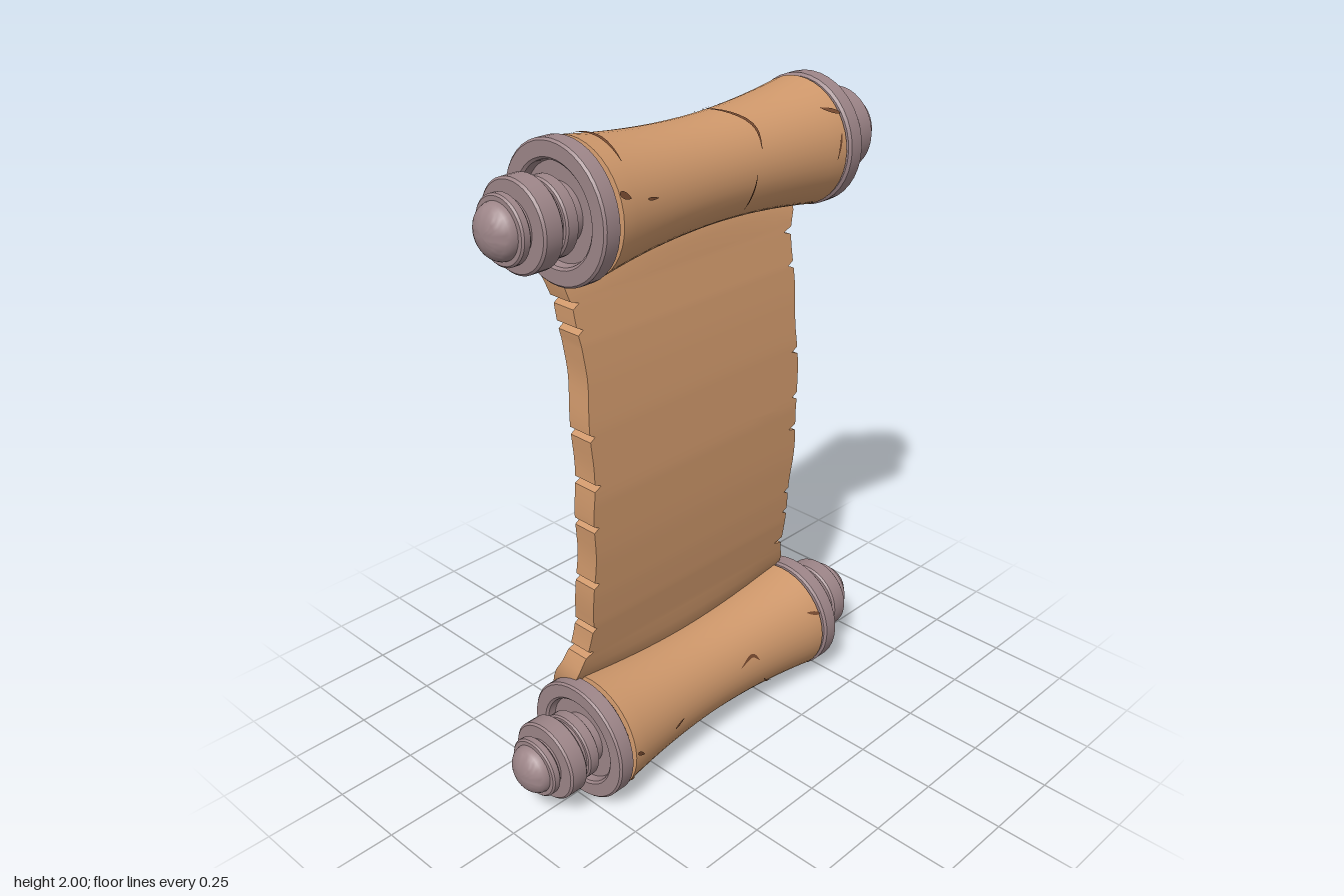
import * as THREE from 'three';
import { toCreasedNormals, mergeGeometries } from 'three/addons/utils/BufferGeometryUtils.js';

const V = (x, y, z) => new THREE.Vector3(x, y, z);
const ROLL_Y = 0.81; // roll axis distance from the middle height
const rollRadius = (x) => 0.147 + 0.037 * Math.pow(Math.min(1, Math.abs(x) / 0.43), 1.9);

// Lathe around x; side = 1 points to +x, -1 to -x
function latheX(profile, side, crease) {
  const g = new THREE.LatheGeometry(profile.map(([r, x]) => new THREE.Vector2(r, x)), 40);
  g.rotateZ(-side * Math.PI / 2);
  return toCreasedNormals(g, crease);
}

function buildRoll() {
  const p = [[0, -0.42], [0.172, -0.428]];
  for (let i = 0; i <= 16; i++) {
    const x = -0.425 + (0.85 * i) / 16;
    p.push([rollRadius(x), x]);
  }
  p.push([0.172, 0.428], [0, 0.42]);
  return latheX(p, 1, 0.6);
}

// Flange with a recessed face, stacked rings and a domed tip
function buildHandle(side) {
  const p = [
    [0, 0.4], [0.1, 0.4], [0.1, 0.437], [0.18, 0.437], [0.188, 0.443], [0.188, 0.486], [0.182, 0.492],
    [0.142, 0.492], [0.135, 0.486], [0.13, 0.465], [0.08, 0.465], [0.08, 0.497],
    [0.098, 0.497], [0.105, 0.502], [0.105, 0.533], [0.1, 0.538], [0.092, 0.538], [0.092, 0.56],
    [0.116, 0.56], [0.122, 0.566], [0.122, 0.616], [0.116, 0.622], [0.075, 0.622], [0.075, 0.635],
    [0.086, 0.635], [0.091, 0.64], [0.091, 0.658], [0.086, 0.663], [0.074, 0.663],
  ];
  for (let i = 1; i <= 8; i++) {
    const a = (i / 8) * Math.PI / 2;
    p.push([0.074 * Math.cos(a), 0.663 + 0.05 * Math.sin(a)]);
  }
  return latheX(p, side, 0.6);
}

// Thin tapering strip along points lying on a surface
function ribbon(points, normals, width) {
  const pos = [], idx = [], n = points.length;
  points.forEach((p, i) => {
    const t = points[Math.min(n - 1, i + 1)].clone().sub(points[Math.max(0, i - 1)]);
    const s = t.cross(normals[i]).normalize().multiplyScalar(width * (0.12 + 0.88 * Math.sin(Math.PI * i / (n - 1))));
    const c = p.clone().addScaledVector(normals[i], 0.003);
    pos.push(...c.clone().add(s).toArray(), ...c.sub(s).toArray());
    if (i) idx.push(2 * i - 2, 2 * i - 1, 2 * i, 2 * i - 1, 2 * i + 1, 2 * i);
  });
  const g = new THREE.BufferGeometry();
  g.setAttribute('position', new THREE.Float32BufferAttribute(pos, 3));
  g.setIndex(idx);
  g.computeVertexNormals();
  return g;
}

// Crack on a roll from [x, degrees] pairs; 0 faces front, 90 faces up
function rollCrack(path, width) {
  const curve = new THREE.CatmullRomCurve3(path.map(([x, d]) => V(x, d * Math.PI / 180, 0)));
  const pts = [], nor = [];
  for (const { x, y: a } of curve.getPoints(14)) {
    const n = V(0, Math.sin(a), Math.cos(a));
    pts.push(n.clone().multiplyScalar(rollRadius(x)).setX(x));
    nor.push(n);
  }
  return ribbon(pts, nor, width);
}

// Sheet section: [distance from middle height, front z, back z, half width]
const SECTION = [
  [0, 0.04, -0.04, 0.424], [0.2, 0.032, -0.046, 0.423], [0.34, 0.02, -0.058, 0.42], [0.44, 0.008, -0.07, 0.42],
  [0.54, -0.01, -0.085, 0.43], [0.6, -0.022, -0.102, 0.45], [0.64, -0.04, -0.128, 0.455],
  [0.7, -0.085, -0.155, 0.445], [0.77, -0.125, -0.172, 0.43],
];
function section(y, k) {
  const t = Math.min(Math.abs(y - 1), 0.77);
  const i = Math.max(1, SECTION.findIndex((s) => s[0] >= t - 1e-9));
  const a = SECTION[i - 1], b = SECTION[i];
  return THREE.MathUtils.lerp(a[k], b[k], (t - a[0]) / (b[0] - a[0]));
}

// Tears along the edges: [height, depth]
const TEARS = {
  1: [[1.54, 0.03], [1.44, 0.022], [1.17, 0.026], [1.02, 0.02], [0.91, 0.03], [0.68, 0.02], [0.6, 0.02], [0.48, 0.036]],
  [-1]: [[1.55, 0.026], [1.48, 0.02], [1.18, 0.018], [1.03, 0.024], [0.9, 0.018], [0.71, 0.02], [0.55, 0.014], [0.46, 0.024]],
};
const GAP = 0.011;
const tearAt = (y, side) => TEARS[side].reduce((m, [h, d]) => Math.max(m, d * (1 - Math.abs(y - h) / GAP)), 0);
const edgeX = (y, side) => side * (section(y, 3) + 0.004 * Math.sin(y * 23 + side) - tearAt(y, side));

function buildSheet() {
  const rows = [];
  for (let i = 0; i <= 44; i++) rows.push(0.23 + (1.54 * i) / 44);
  for (const side of [1, -1]) for (const [h] of TEARS[side]) rows.push(h - GAP, h, h + GAP);
  rows.sort((a, b) => a - b);
  const ys = rows.filter((y, i) => !i || y - rows[i - 1] > 1e-4);
  const N = 12, ring = 2 * (N + 1), pos = [], plain = [], torn = [];
  ys.forEach((y, r) => {
    const xl = edgeX(y, -1), xr = edgeX(y, 1);
    const axis = y > 1 ? 1 + ROLL_Y : 1 - ROLL_Y;
    const w = THREE.MathUtils.smoothstep(Math.abs(y - 1), 0.54, 0.68);
    for (let j = 0; j < ring; j++) {
      const front = j <= N;
      const x = THREE.MathUtils.lerp(xl, xr, (front ? j : ring - 1 - j) / N);
      // hug the waisted roll near both ends
      const s = THREE.MathUtils.lerp(1, rollRadius(x) / 0.184, w);
      pos.push(x, axis + (y - axis) * s, section(y, front ? 1 : 2) * s);
      if (r === ys.length - 1) continue;
      const a = r * ring + j, b = r * ring + (j + 1) % ring;
      const side = j === N ? 1 : j === ring - 1 ? -1 : 0;
      const dark = side && tearAt(ys[r], side) > tearAt(ys[r + 1], side) + 1e-6;
      (dark ? torn : plain).push(a, b, a + ring, b, b + ring, a + ring);
    }
  });
  const g = new THREE.BufferGeometry();
  g.setAttribute('position', new THREE.Float32BufferAttribute(pos, 3));
  g.setIndex([...plain, ...torn]);
  g.addGroup(0, plain.length, 0);
  g.addGroup(plain.length, torn.length, 1);
  return toCreasedNormals(g, 0.5);
}

// Fine splits running inwards on the back of the sheet
function buildSheetSplits() {
  const parts = [];
  for (const side of [1, -1]) TEARS[side].forEach(([h, d], k) => {
    if (Math.abs(h - 1) > 0.5) return;
    const pts = [], nor = [];
    for (let i = 0; i <= 4; i++) {
      const y = h - 0.005 * i * (k % 2 ? 1 : -1);
      pts.push(V(edgeX(h, side) - side * i * d * 0.6, y, section(y, 2)));
      nor.push(V(0, 0, -1));
    }
    parts.push(ribbon(pts, nor, 0.004));
  });
  return mergeGeometries(parts);
}

const TOP_CRACKS = [
  [[[0.07, 118], [0.09, 85], [0.13, 50], [0.12, 25]], 0.006], [[[0.09, 2], [0.08, -20], [0.075, -40]], 0.003],
  [[[0.06, 112], [0.12, 110]], 0.008], [[[-0.38, 135], [-0.36, 90], [-0.37, 48]], 0.006],
  [[[-0.425, 24], [-0.39, 18]], 0.009], [[[-0.33, 13], [-0.29, 11]], 0.004], [[[0.425, 35], [0.37, 45]], 0.007],
  [[[0.41, 18], [0.39, -4]], 0.004], [[[0.2, 125], [0.25, 140], [0.3, 138]], 0.004],
  [[[-0.15, 160], [-0.1, 175], [-0.12, 190]], 0.004], [[[0.36, 130], [0.37, 165], [0.42, 185]], 0.004],
];
const BOTTOM_CRACKS = [
  [[[0.07, 15], [0.12, 22], [0.15, 12]], 0.006], [[[0.18, -22], [0.21, -35], [0.25, -45]], 0.004],
  [[[-0.425, -28], [-0.38, -50], [-0.34, -60]], 0.007], [[[-0.24, -4], [-0.2, 2]], 0.004],
  [[[0.425, 26], [0.38, 33]], 0.006], [[[-0.42, 5], [-0.39, -2]], 0.006],
  [[[0.1, 180], [0.13, 195]], 0.004], [[[-0.25, 190], [-0.2, 200], [-0.21, 215]], 0.004],
  [[[0.35, 215], [0.39, 240], [0.38, 265]], 0.005],
];

export function createModel() {
  const material = (name, color, side = THREE.FrontSide) => {
    const m = new THREE.MeshStandardMaterial({ color, side });
    m.name = name;
    return m;
  };
  const parchment = material('parchment', 0xcf986b);
  const wood = material('mauve wood', 0x9d8588);
  const crack = material('dark crack', 0x75492f, THREE.DoubleSide);

  const model = new THREE.Group();
  model.name = 'scroll';
  const add = (parent, name, geometry, mat) => {
    const mesh = new THREE.Mesh(geometry, mat);
    mesh.name = name;
    parent.add(mesh);
  };
  add(model, 'sheet', buildSheet(), [parchment, crack]);
  add(model, 'sheetSplits', buildSheetSplits(), crack);

  const roll = buildRoll(), left = buildHandle(1), right = buildHandle(-1);
  for (const [name, dir, cracks] of [['topRoller', 1, TOP_CRACKS], ['bottomRoller', -1, BOTTOM_CRACKS]]) {
    const g = new THREE.Group();
    g.name = name;
    g.position.y = 1 + dir * ROLL_Y;
    add(g, 'paperRoll', roll, parchment);
    add(g, 'leftHandle', left, wood);
    add(g, 'rightHandle', right, wood);
    add(g, 'rollCracks', mergeGeometries(cracks.map(([path, w]) => rollCrack(path, w))), crack);
    model.add(g);
  }
  return model;
}
